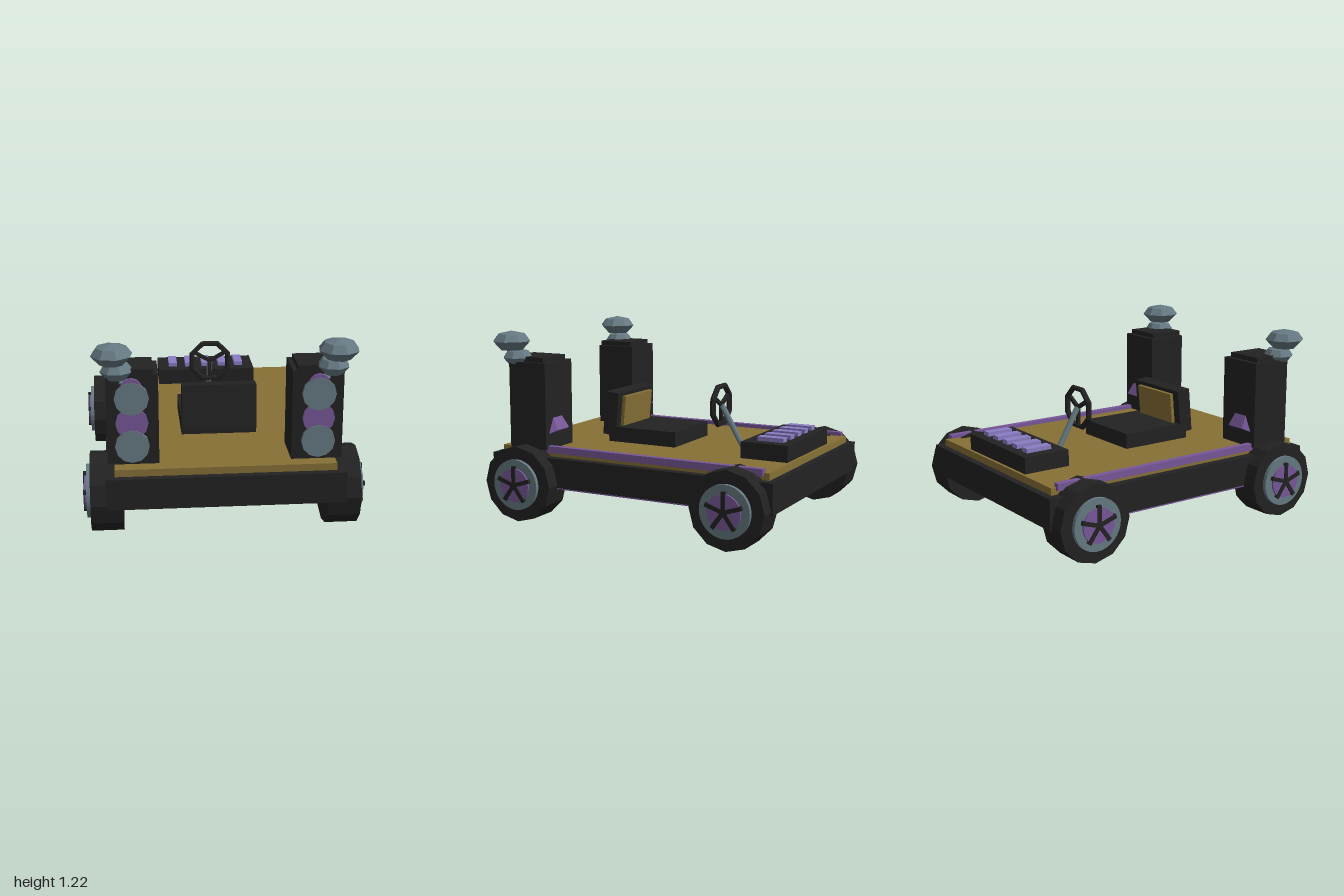
import * as THREE from 'three';
import { ConvexGeometry } from 'three/addons/geometries/ConvexGeometry.js';

const paint = (name, color) => {
  const m = new THREE.MeshStandardMaterial({ color, flatShading: true });
  m.name = name;
  return m;
};

export function createModel() {
  const black = paint('black', 0x222222);
  const gold = paint('gold', 0x877036);
  const grey = paint('blueGrey', 0x667982);
  const purple = paint('purple', 0x775798);
  const lavender = paint('lavender', 0x8b7cc4);

  const root = new THREE.Group();
  root.name = 'buggy';

  const add = (parent, name, geo, mat, x = 0, y = 0, z = 0) => {
    const m = new THREE.Mesh(geo, mat);
    m.name = name;
    m.position.set(x, y, z);
    parent.add(m);
    return m;
  };
  // Box given by its minimum and maximum on each axis
  const box = (parent, name, mat, x0, x1, y0, y1, z0, z1) =>
    add(parent, name, new THREE.BoxGeometry(x1 - x0, y1 - y0, z1 - z0), mat,
      (x0 + x1) / 2, (y0 + y1) / 2, (z0 + z1) / 2);
  const group = (name, parent = root) => {
    const g = new THREE.Group();
    g.name = name;
    parent.add(g);
    return g;
  };

  // Chassis and deck
  box(root, 'chassis', black, -0.725, 0.725, 0.225, 0.42, -1, 1);
  box(root, 'deck', gold, -0.67, 0.67, 0.42, 0.465, -0.955, 0.955);

  // Wheel with its axle along x, outer face towards +x
  const makeWheel = (s, z) => {
    const w = group('wheel');
    const disc = (name, mat, r, x0, x1, n) => {
      const g = new THREE.CylinderGeometry(r, r, x1 - x0, n);
      g.rotateX(Math.PI / 2).rotateY(Math.PI / 2);
      // put a corner at the top
      g.rotateX(Math.PI / 2);
      add(w, name, g, mat, (x0 + x1) / 2, 0, 0);
    };
    disc('tyre', black, 0.247, -0.1, 0.1, 12);
    disc('rim', grey, 0.165, 0.09, 0.125, 32);
    disc('hubCap', purple, 0.11, 0.12, 0.138, 24);
    for (let i = 0; i < 5; i++) {
      const g = new THREE.BoxGeometry(0.02, 0.125, 0.026);
      g.translate(0, 0.0625, 0).rotateX((i * 2 * Math.PI) / 5);
      add(w, 'spoke', g, black, 0.136);
    }
    w.position.set(s * 0.72, 0.247, z);
    if (s < 0) w.rotation.y = Math.PI;
  };

  for (const s of [1, -1]) {
    for (const z of [0.745, -0.745]) makeWheel(s, z);

    const pair = (name, mat, x0, x1, ...rest) =>
      box(root, name, mat, Math.min(s * x0, s * x1), Math.max(s * x0, s * x1), ...rest);
    pair('sideRail', purple, 0.65, 0.69, 0.445, 0.49, -0.92, 0.6);
    pair('sillStrip', purple, 0.72, 0.728, 0.222, 0.229, -0.5, 0.5);

    // Speaker tower
    pair('speakerTower', black, 0.4, 0.71, 0.465, 1.028, 0.59, 0.866);
    pair('speakerTowerCap', black, 0.43, 0.685, 1.028, 1.06, 0.62, 0.866);
    for (const [y, r, mat, depth] of [[0.585, 0.103, grey, 0.028], [0.73, 0.098, purple, 0.022],
      [0.885, 0.103, grey, 0.028], [0.945, 0.065, purple, 0.022]]) {
      const g = new THREE.CylinderGeometry(r, r, depth, 12).rotateX(Math.PI / 2);
      add(root, 'speakerCone', g, mat, s * 0.56, y, 0.863 + depth / 2);
    }

    // Wedge-shaped horn on the tower's inner face
    const hornPoints = [];
    for (const k of [-1, 1]) {
      hornPoints.push(new THREE.Vector3(k * 0.105, 0.565, 0.595),
        new THREE.Vector3(k * 0.065, 0.59, 0.545),
        new THREE.Vector3(k * 0.05, 0.675, 0.595));
    }
    add(root, 'horn', new ConvexGeometry(hornPoints), purple, s * 0.572);

    // Lamp made of stacked faceted bulbs leaning outwards
    const lamp = group('lamp');
    for (const [x, y, z, r, h] of [[0.67, 1.157, 0.87, 0.126, 0.067],
      [0.645, 1.05, 0.84, 0.1, 0.06], [0.59, 0.98, 0.815, 0.07, 0.045]]) {
      const profile = [[0, -0.95], [0.58, -0.85], [1, 0], [0.72, 0.7], [0, 1]]
        .map(([a, b]) => new THREE.Vector2(a * r, b * h));
      const g = new THREE.LatheGeometry(profile, 8).rotateY(Math.PI / 8 * 0.6);
      add(lamp, 'lampBulb', g, grey, s * x, y, z);
    }
  }

  // Seat, facing -z
  const seat = group('seat');
  box(seat, 'seatBase', black, -0.24, 0.24, 0.465, 0.565, -0.1, 0.4);
  const back = group('seatBack', seat);
  box(back, 'backrest', black, -0.238, 0.238, 0, 0.29, -0.048, 0.048);
  box(back, 'backCushion', gold, -0.18, 0.18, 0.04, 0.265, -0.072, -0.046);
  back.position.set(0, 0.508, 0.4);
  back.rotation.x = -0.095;

  // Control console with keys
  const panel = group('console');
  box(panel, 'consoleBody', black, -0.345, 0.345, 0.465, 0.57, -0.935, -0.62);
  for (let i = -2; i <= 2; i++) {
    box(panel, 'key', lavender, i * 0.12 - 0.03, i * 0.12 + 0.03, 0.565, 0.597, -0.875, -0.7);
  }

  // Steering wheel and column
  const steering = group('steering');
  const ring = new THREE.TorusGeometry(0.134, 0.019, 6, 8).rotateZ(Math.PI / 8);
  add(steering, 'steeringRing', ring, black, 0, 0.73, -0.32);
  for (let i = 0; i < 3; i++) {
    const g = new THREE.BoxGeometry(0.024, 0.13, 0.02);
    g.translate(0, 0.065, 0).rotateZ(Math.PI + (i * 2 * Math.PI) / 3);
    add(steering, 'steeringSpoke', g, black, 0, 0.73, -0.32);
  }
  const a = new THREE.Vector3(0, 0.73, -0.325), b = new THREE.Vector3(0, 0.455, -0.485);
  const column = add(steering, 'steeringColumn',
    new THREE.CylinderGeometry(0.019, 0.019, a.distanceTo(b), 8), grey);
  column.position.copy(a).lerp(b, 0.5);
  column.quaternion.setFromUnitVectors(new THREE.Vector3(0, 1, 0), a.clone().sub(b).normalize());

  return root;
}
